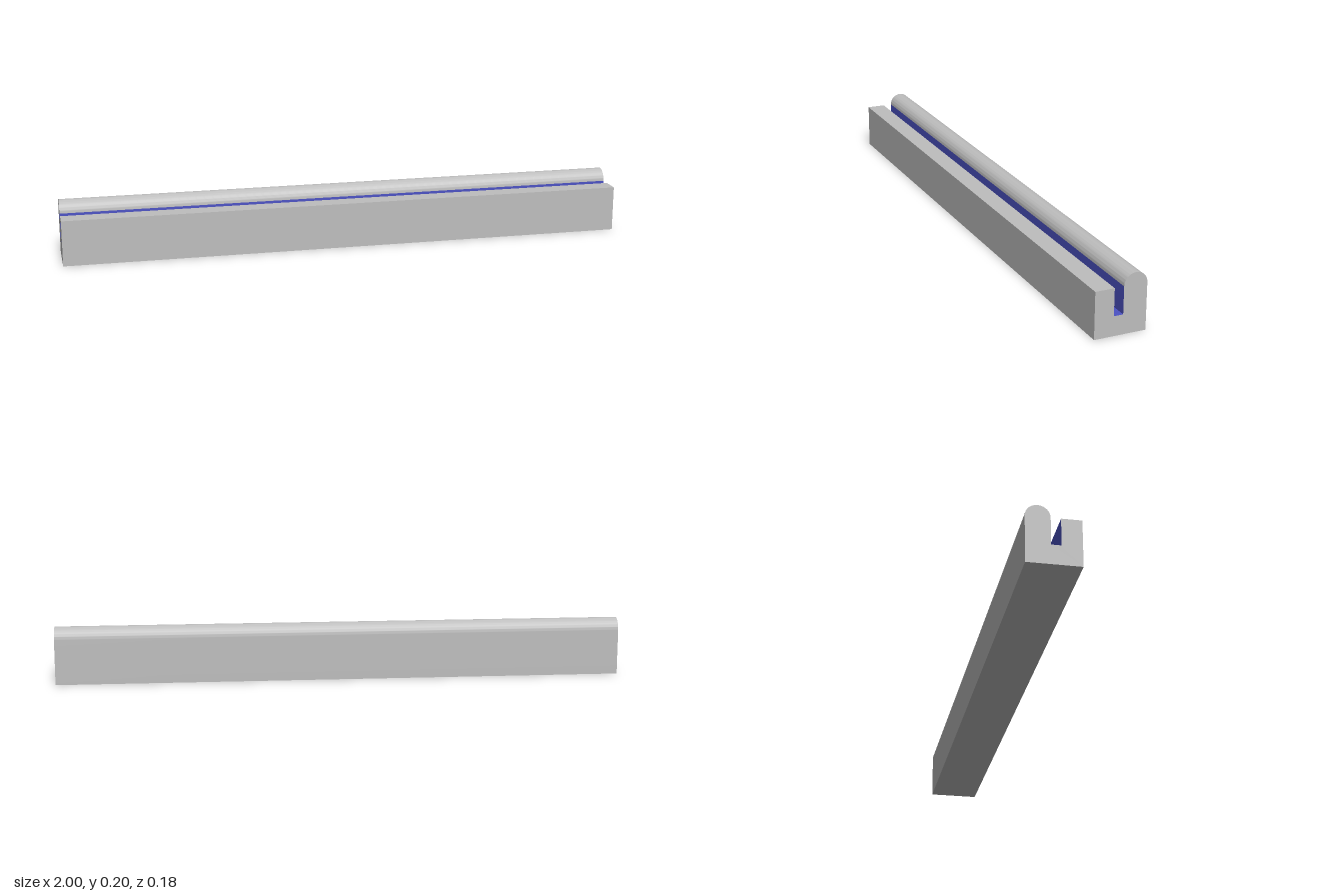
import * as THREE from 'three';
import { toCreasedNormals } from 'three/addons/utils/BufferGeometryUtils.js';

const LENGTH = 2, HALF_DEPTH = 0.089;
const SLOT_FRONT = 0.023, SLOT_BACK = -0.009, SLOT_FLOOR = 0.067;
const LEDGE = 0.16, RADIUS = 0.04;

export function createModel() {
  const grey = new THREE.MeshStandardMaterial({ color: 0xbebebe });
  grey.name = 'grey body';
  const blue = new THREE.MeshStandardMaterial({ color: 0x4c52c4 });
  blue.name = 'blue slot lining';

  // Cross-section: low front wall, slot, round-topped back wall (shape x = -z)
  const profile = new THREE.Shape();
  profile.moveTo(-HALF_DEPTH, 0);
  profile.lineTo(HALF_DEPTH, 0);
  profile.lineTo(HALF_DEPTH, LEDGE);
  profile.absarc(HALF_DEPTH - RADIUS, LEDGE, RADIUS, 0, Math.PI, false);
  profile.lineTo(-SLOT_BACK, SLOT_FLOOR);
  profile.lineTo(-SLOT_FRONT, SLOT_FLOOR);
  profile.lineTo(-SLOT_FRONT, LEDGE);
  profile.lineTo(-HALF_DEPTH, LEDGE);
  profile.closePath();

  const extruded = new THREE.ExtrudeGeometry(profile, {
    depth: LENGTH, bevelEnabled: false, curveSegments: 32,
  });
  extruded.rotateY(Math.PI / 2).translate(-LENGTH / 2, 0, 0);
  const geometry = toCreasedNormals(extruded, Math.PI / 6);

  // Slot walls and floor get the lining colour; every other face stays grey
  const pos = geometry.attributes.position;
  const eps = 1e-4;
  geometry.clearGroups();
  for (let i = 0; i < pos.count; i += 3) {
    const corners = [i, i + 1, i + 2];
    const inSlot = corners.every((k) =>
      pos.getZ(k) < SLOT_FRONT + eps && pos.getZ(k) > SLOT_BACK - eps &&
      pos.getY(k) > SLOT_FLOOR - eps && pos.getY(k) < LEDGE + eps);
    const isEndCap = corners.every((k) => Math.abs(pos.getX(k) - pos.getX(i)) < eps);
    const material = inSlot && !isEndCap ? 1 : 0;
    const last = geometry.groups[geometry.groups.length - 1];
    if (last && last.materialIndex === material) last.count += 3;
    else geometry.addGroup(i, 3, material);
  }

  const body = new THREE.Mesh(geometry, [grey, blue]);
  body.name = 'slottedRail';
  const group = new THREE.Group();
  group.name = 'slottedBar';
  group.add(body);
  return group;
}
